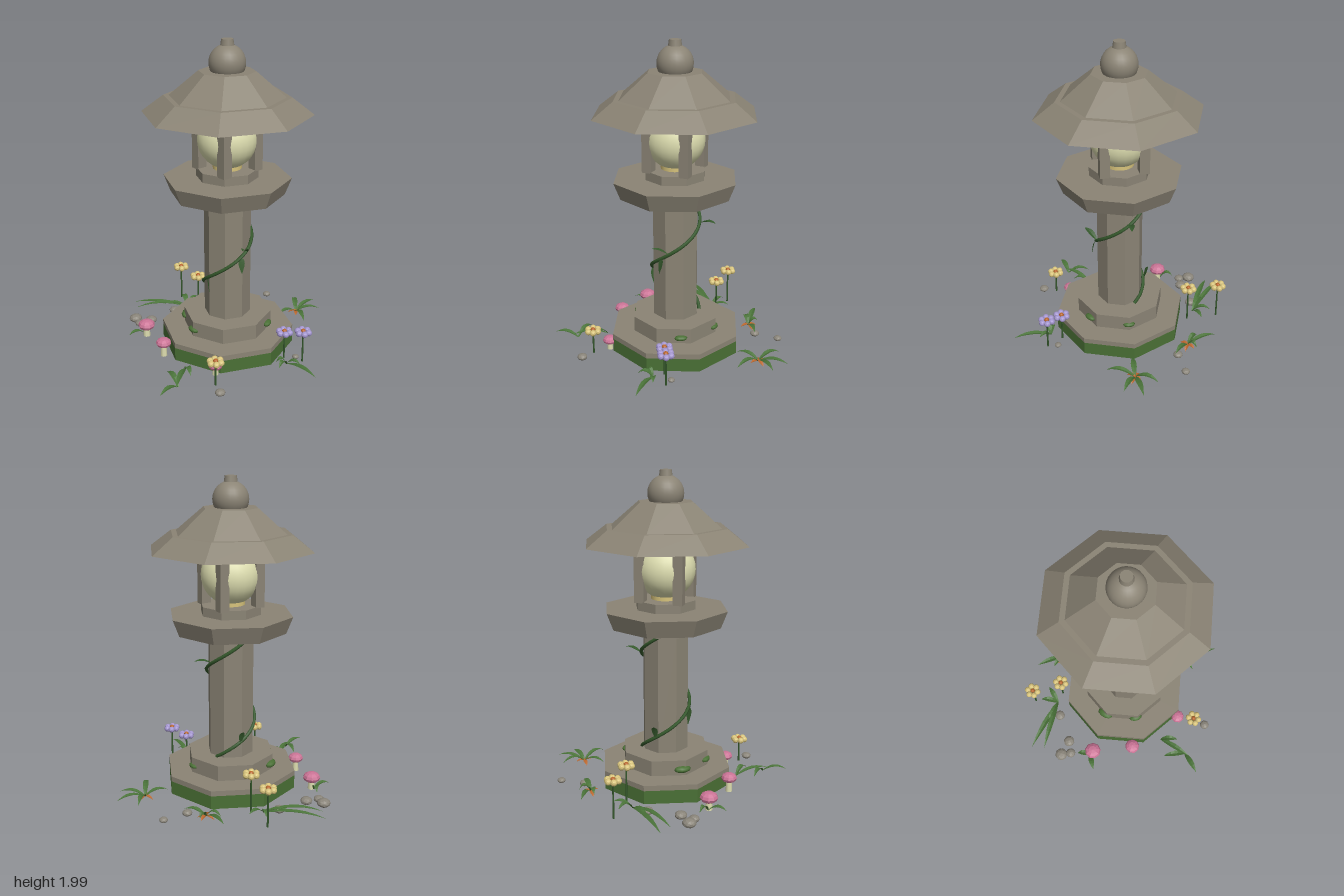
import * as THREE from 'three';

const paint = (name, color) => {
  const m = new THREE.MeshStandardMaterial({ color });
  m.name = name;
  return m;
};
const M = {
  stone: paint('stone', 0x8b8475),
  pebble: paint('pebble', 0x8a857a),
  lamp: paint('lampGlow', 0xdedeb0),
  moss: paint('moss', 0x4a7035),
  leaf: paint('leafGreen', 0x4a7339),
  vine: paint('vineGreen', 0x35592c),
  yellow: paint('yellowPetal', 0xd8c47c),
  purple: paint('purplePetal', 0xa496cf),
  pink: paint('pinkCap', 0xcc7597),
  orange: paint('orangeCentre', 0xb8662c),
};
M.leaf.side = M.vine.side = M.orange.side = THREE.DoubleSide;

const V = (x, y, z) => new THREE.Vector3(x, y, z);

// Facet a geometry so each face is flat
function flat(geo) {
  const g = geo.index ? geo.toNonIndexed() : geo;
  g.computeVertexNormals();
  return g;
}

function add(parent, name, geo, mat, x = 0, y = 0, z = 0) {
  const mesh = new THREE.Mesh(geo, mat);
  mesh.name = name;
  mesh.position.set(x, y, z);
  parent.add(mesh);
  return mesh;
}

// Eight-sided stone block between two heights, corners on the axes
function octagon(parent, name, rBottom, rTop, y0, y1, mat = M.stone) {
  return add(parent, name, flat(new THREE.CylinderGeometry(rTop, rBottom, y1 - y0, 8)), mat, 0, (y0 + y1) / 2, 0);
}

// Pointed, arched leaf blade with a folded midrib
function blade(parent, name, root, tip, lift, width, mat = M.leaf) {
  const mid = root.clone().lerp(tip, 0.5);
  mid.y += lift;
  const curve = new THREE.QuadraticBezierCurve3(root, mid, tip);
  const side = tip.clone().sub(root).cross(V(0, 1, 0));
  if (side.length() < 1e-4) side.set(1, 0, 0);
  side.normalize();
  const pos = [], idx = [], n = 6;
  for (let i = 0; i <= n; i++) {
    const t = i / n, p = curve.getPoint(t);
    const w = (width / 2) * Math.sin(Math.PI * (0.08 + 0.92 * t)) + 0.0005;
    for (const s of [-1, 0, 1]) pos.push(p.x + side.x * w * s, p.y + Math.abs(s) * w * 0.35, p.z + side.z * w * s);
    if (i < n) for (let k = 0; k < 2; k++) {
      const a = i * 3 + k;
      idx.push(a, a + 1, a + 3, a + 1, a + 4, a + 3);
    }
  }
  const g = new THREE.BufferGeometry();
  g.setAttribute('position', new THREE.Float32BufferAttribute(pos, 3));
  g.setIndex(idx);
  return add(parent, name, flat(g), mat);
}

function buildLantern() {
  const g = new THREE.Group();
  g.name = 'lantern';
  g.position.set(-0.015, 0, 0.012);
  octagon(g, 'mossyFoot', 0.428, 0.428, 0.02, 0.106, M.moss);
  octagon(g, 'plinth', 0.428, 0.428, 0.106, 0.14);
  octagon(g, 'step', 0.283, 0.283, 0.14, 0.239);
  octagon(g, 'column', 0.148, 0.148, 0.239, 1.0);
  octagon(g, 'columnCollar', 0.18, 0.18, 1.0, 1.05);
  octagon(g, 'platform', 0.355, 0.397, 1.05, 1.158);
  octagon(g, 'lampBase', 0.193, 0.193, 1.158, 1.215);
  octagon(g, 'eaves', 0.521, 0.386, 1.558, 1.66);
  octagon(g, 'upperRoof', 0.352, 0.172, 1.66, 1.812);

  // Four square posts around the glowing globe
  for (const sx of [-1, 1]) for (const sz of [-1, 1])
    add(g, 'post', new THREE.BoxGeometry(0.062, 0.36, 0.062), M.stone, sx * 0.122, 1.388, sz * 0.122);
  add(g, 'lampGlobe', new THREE.SphereGeometry(0.185, 24, 16), M.lamp, 0, 1.4, 0);
  add(g, 'lampHolder', new THREE.CylinderGeometry(0.09, 0.09, 0.035, 16), M.yellow, 0, 1.232, 0);

  // Round finial
  add(g, 'finial', new THREE.SphereGeometry(0.111, 24, 16), M.stone, 0, 1.86, 0);
  add(g, 'finialTip', new THREE.CylinderGeometry(0.036, 0.042, 0.04, 12), M.stone, 0, 1.98, 0);

  // Moss cushions on the step
  for (const [deg, r] of [[32, 0.042], [90, 0.04], [221, 0.055], [268, 0.045]]) {
    const a = THREE.MathUtils.degToRad(deg);
    const m = add(g, 'mossCushion', new THREE.SphereGeometry(r, 10, 6), M.moss, 0.272 * Math.sin(a), 0.18, 0.272 * Math.cos(a));
    m.scale.set(1, 0.4, 0.6);
    m.rotation.y = a;
  }

  // Vine winding up the column
  const onVine = (t, r = 0.154) => {
    const a = THREE.MathUtils.degToRad(115 + 425 * t);
    return V(r * Math.sin(a), 0.24 + 0.76 * t, r * Math.cos(a));
  };
  const path = new THREE.CatmullRomCurve3(Array.from({ length: 33 }, (_, i) => onVine(i / 32)));
  add(g, 'vine', new THREE.TubeGeometry(path, 90, 0.011, 6), M.vine);
  const leaves = [[0.14, 0, 0.08, -0.03], [0.36, 0.01, -0.12, 0.01], [0.6, -0.09, 0.05, 0.06],
    [0.56, -0.01, -0.1, 0.02], [0.82, 0.11, 0.02, 0.02]];
  for (const [t, dx, dy, dz] of leaves) {
    const p = onVine(t, 0.16);
    blade(g, 'vineLeaf', p, p.clone().add(V(dx, dy, dz)), 0.02, 0.04, M.vine);
  }
  return g;
}

function buildFlower(x, y, z, petalMat) {
  const g = new THREE.Group();
  g.name = 'flower';
  add(g, 'flowerStem', new THREE.CylinderGeometry(0.005, 0.006, y - 0.02, 6), M.vine, x, (y + 0.02) / 2, z);
  for (let i = 0; i < 6; i++) {
    const a = (i * Math.PI) / 3;
    add(g, 'petal', flat(new THREE.IcosahedronGeometry(0.021, 1)), petalMat, x + 0.035 * Math.cos(a), y, z + 0.035 * Math.sin(a));
  }
  add(g, 'flowerCentre', flat(new THREE.IcosahedronGeometry(0.016, 1)), M.orange, x, y + 0.006, z);
  return g;
}

function buildMushroom(x, y, z, r) {
  const g = new THREE.Group();
  g.name = 'mushroom';
  add(g, 'mushroomStem', new THREE.CylinderGeometry(r * 0.35, r * 0.42, y - 0.02, 8), M.lamp, x, (y + 0.02) / 2, z);
  add(g, 'mushroomCap', flat(new THREE.SphereGeometry(r, 9, 6)), M.pink, x, y, z).scale.y = 0.62;
  return g;
}

// One tuft: root position followed by its blade tips
function buildTuft([rx, rz], tips, orange) {
  const g = new THREE.Group();
  g.name = 'grassTuft';
  tips.forEach(([x, z, y = 0.045], i) =>
    blade(g, 'grassBlade', V(rx, 0.025, rz), V(x, y, z), 0.05 + (i % 2) * 0.02, 0.036));
  if (orange) for (let i = 0; i < 4; i++) {
    const a = i * 1.7 + 0.6;
    blade(g, 'fallenLeaf', V(rx, 0.03, rz), V(rx + 0.055 * Math.cos(a), 0.01 + 0.012 * (i % 2), rz + 0.055 * Math.sin(a)), 0.012, 0.026, M.orange);
  }
  return g;
}

export function createModel() {
  const model = new THREE.Group();
  model.name = 'stoneLantern';
  model.add(buildLantern());

  model.add(
    buildFlower(-0.42, 0.18, 0.39, M.yellow),
    buildFlower(0.095, 0.265, -0.64, M.yellow),
    buildFlower(0.09, 0.27, -0.435, M.yellow),
    buildFlower(0.165, 0.23, 0.535, M.purple),
    buildFlower(0.105, 0.205, 0.43, M.purple),
    buildMushroom(-0.35, 0.085, 0.3, 0.046),
    buildMushroom(-0.465, 0.112, -0.08, 0.05),
    buildMushroom(-0.408, 0.1, -0.355, 0.056),
  );

  // Grass tufts
  model.add(
    buildTuft([0.03, -0.49], [[-0.235, -0.76], [-0.27, -0.68], [0.15, -0.52, 0.06], [0.08, -0.6, 0.06], [-0.1, -0.6]]),
    buildTuft([0.36, -0.36], [[0.34, -0.55, 0.06], [0.3, -0.44], [0.45, -0.25], [0.42, -0.4]], true),
    buildTuft([0.58, 0.05], [[0.77, 0.04], [0.68, -0.075], [0.71, 0.15], [0.5, 0.215], [0.43, 0.03]], true),
    buildTuft([0.06, 0.5], [[0.07, 0.745], [-0.03, 0.53], [0.1, 0.58], [0.0, 0.47]]),
    buildTuft([-0.46, 0.14], [[-0.64, 0.29], [-0.5, 0.25]]),
    buildTuft([-0.61, 0.27], [[-0.765, 0.3], [-0.585, 0.12]]),
    buildTuft([-0.41, -0.38], [[-0.525, -0.39], [-0.38, -0.46]]),
  );

  // Pebbles: x, z, radius
  const pebbles = [[-0.35, -0.575, 0.043], [-0.36, -0.508, 0.033], [-0.275, -0.495, 0.038], [-0.07, -0.505, 0.036],
    [0.44, -0.27, 0.031], [0.6, -0.275, 0.027], [-0.455, 0.475, 0.032], [0.17, 0.47, 0.022]];
  pebbles.forEach(([x, z, r], i) => {
    const p = add(model, 'pebble', flat(new THREE.IcosahedronGeometry(r, 1)), M.pebble, x, r * 0.65 + 0.006, z);
    p.scale.y = 0.65;
    p.rotation.y = i * 1.3;
  });
  return model;
}
